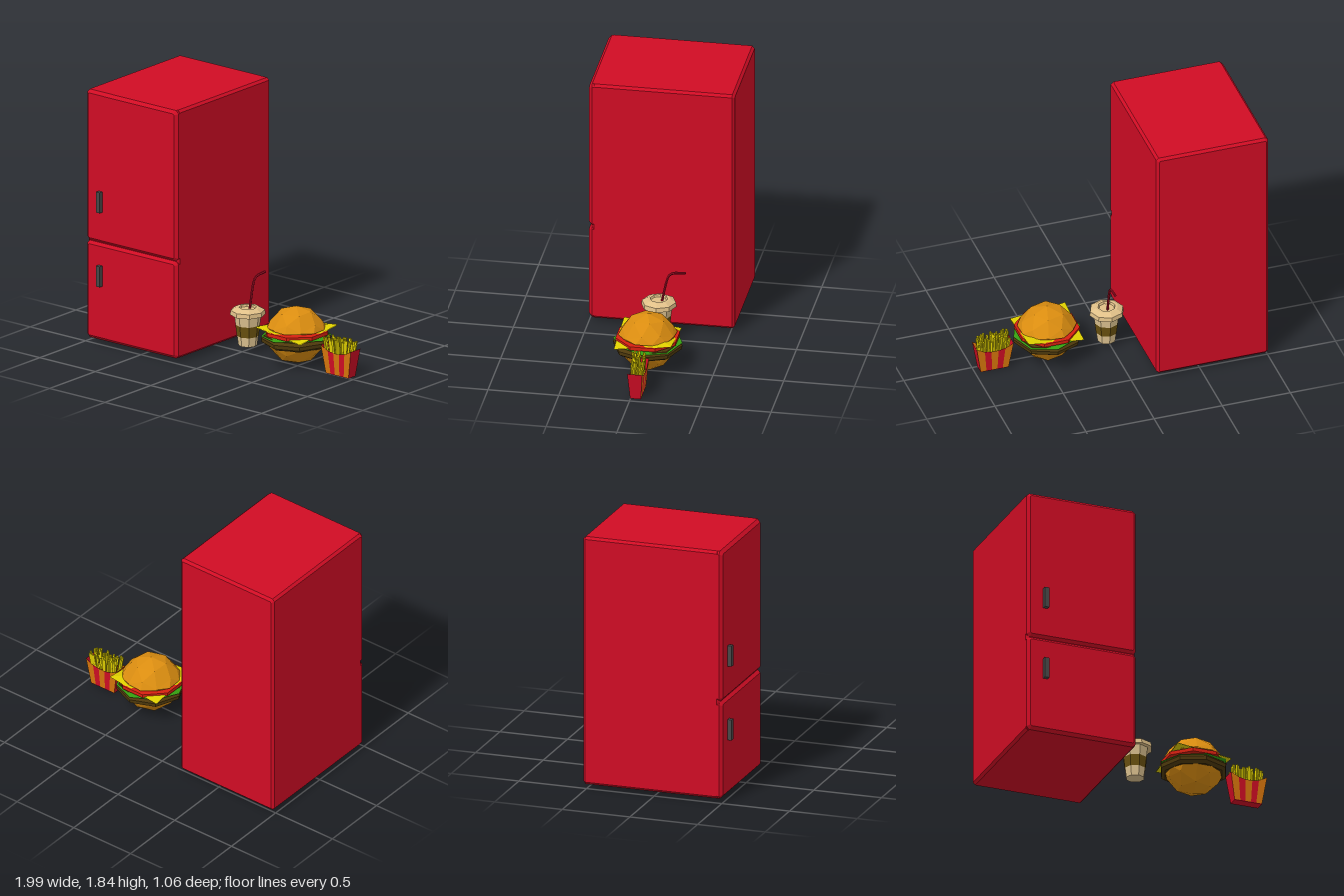
import * as THREE from 'three';

const RED = 0xd00c24, ORANGE = 0xd9760c, YELLOW = 0xe0d000, BUN = 0xdb8d10;

function mat(color) {
  return new THREE.MeshStandardMaterial({ color, flatShading: true, side: THREE.DoubleSide });
}

function add(parent, name, geometry, color, x = 0, y = 0, z = 0) {
  const mesh = new THREE.Mesh(geometry, mat(color));
  mesh.name = name;
  mesh.position.set(x, y, z);
  parent.add(mesh);
  return mesh;
}

// Box between two corners with every edge chamfered by c
function chamferBox([x0, y0, z0], [x1, y1, z1], c) {
  const a = x0 + c, b = x1 - c, d = y0 + c, e = y1 - c;
  const shape = new THREE.Shape();
  // bevelSize pushes the outline out by c
  const k = c * 0.4;
  [[a + k, d], [b - k, d], [b, d + k], [b, e - k], [b - k, e], [a + k, e], [a, e - k], [a, d + k]]
    .forEach(([x, y], i) => (i ? shape.lineTo(x, y) : shape.moveTo(x, y)));
  const g = new THREE.ExtrudeGeometry(shape, {
    depth: z1 - z0 - 2 * c, bevelThickness: c, bevelSize: c, bevelSegments: 1,
  });
  return g.translate(0, 0, z0 + c);
}

// Polygon fan from a list of corner points
function fan(points) {
  const pos = [];
  for (let i = 1; i < points.length - 1; i++) pos.push(...points[0], ...points[i], ...points[i + 1]);
  const g = new THREE.BufferGeometry();
  g.setAttribute('position', new THREE.Float32BufferAttribute(pos, 3));
  g.computeVertexNormals();
  return g;
}

// Eight-sided lathe from [radius, height] pairs
function octagon(profile) {
  return new THREE.LatheGeometry(profile.map(([r, y]) => new THREE.Vector2(r, y)), 8);
}

function makeFridge() {
  const g = new THREE.Group();
  g.name = 'refrigerator';
  add(g, 'cabinet', chamferBox([-1, 0.03, -0.53], [-0.18, 1.84, 0.48], 0.018), RED);
  add(g, 'upperDoor', chamferBox([-1, 0.74, 0.38], [-0.18, 1.84, 0.5], 0.022), RED);
  add(g, 'lowerDoor', chamferBox([-1, 0.03, 0.38], [-0.18, 0.74, 0.5], 0.022), RED);
  for (const [name, y] of [['upperHandle', 1.045], ['lowerHandle', 0.505]]) {
    add(g, name, new THREE.BoxGeometry(0.034, 0.15, 0.04), 0x484848, -0.865, y, 0.51);
  }
  return g;
}

function makeDrink() {
  const g = new THREE.Group();
  g.name = 'drink';
  g.position.set(0.023, 0, -0.033);
  add(g, 'cup', octagon([[0, 0.05], [0.066, 0.05], [0.096, 0.28]]), 0xe0c592);
  add(g, 'cupBand', octagon([[0.077, 0.12], [0.087, 0.2]]), 0x6b5210);
  add(g, 'lid', octagon([[0.09, 0.272], [0.125, 0.274], [0.12, 0.305], [0.082, 0.326],
    [0.062, 0.326], [0.055, 0.312], [0, 0.312]]), 0xe0c088);
  // Bent straw pointing to the back
  const path = new THREE.CatmullRomCurve3([[0.3, -0.02], [0.4, -0.04], [0.47, -0.056], [0.51, -0.072],
    [0.53, -0.1], [0.534, -0.13], [0.538, -0.188]].map(([y, z]) => new THREE.Vector3(0, y, z)));
  add(g, 'straw', new THREE.TubeGeometry(path, 14, 0.009, 6), 0xa80c24);
  return g;
}

// Faceted ball with one side cut flat between the given heights
function bun(low, high) {
  const geometry = new THREE.IcosahedronGeometry(0.208, 1);
  geometry.rotateY(0.3);
  const p = geometry.attributes.position;
  for (let i = 0; i < p.count; i++) p.setY(i, THREE.MathUtils.clamp(p.getY(i), low, high));
  geometry.computeVertexNormals();
  return geometry;
}

function makeBurger() {
  const g = new THREE.Group();
  g.name = 'burger';
  g.position.set(0.461, 0, -0.032);
  add(g, 'bottomBun', bun(-1, -0.05), BUN, 0, 0.216);
  add(g, 'topBun', bun(0.055, 1), BUN, 0, 0.216);
  add(g, 'patty', octagon([[0, 0.15], [0.215, 0.15], [0.242, 0.168], [0.245, 0.195],
    [0.225, 0.215], [0, 0.215]]), 0x4f3a0c);
  // Lettuce leaf, folded so two sides droop
  const leaf = [];
  for (let i = 0; i < 8; i++) {
    const a = i * Math.PI / 4;
    leaf.push([0.245 * Math.cos(a), 0.232 - 0.024 * Math.abs(Math.cos(a + 0.8)), 0.245 * Math.sin(a)]);
  }
  add(g, 'lettuce', fan([[0, 0.234, 0], ...leaf, leaf[0]]), 0x35a010);
  const tomato = octagon([[0, 0.232], [0.23, 0.232], [0.23, 0.258], [0, 0.258]]);
  add(g, 'tomato', tomato, 0xd82010).rotation.y = Math.PI / 8;
  // Square cheese slice folded along a diagonal
  const s = 0.203;
  for (const k of [1, -1]) {
    const corners = [[-s, 0.28, s], [k * s, 0.23, k * s], [s, 0.28, -s]];
    const name = k > 0 ? 'cheeseFront' : 'cheeseBack';
    add(g, name, fan(corners), YELLOW);
    add(g, name + 'Underside', fan(corners), YELLOW, 0, -0.006);
  }
  return g;
}

function makeFries() {
  const g = new THREE.Group();
  g.name = 'fries';
  g.position.set(0.858, 0, -0.035);
  const bottomX = 0.102, topX = 0.135, bottomZ = 0.038, topZ = 0.053;
  // Striped front and back panels with a dipped rim
  const edges = [-1, -0.58, -0.2, 0.2, 0.58, 1];
  const rim = (t) => 0.165 + 0.04 * Math.max(0, (Math.abs(t) - 0.45) / 0.55);
  for (const side of [1, -1]) {
    for (let i = 0; i < 5; i++) {
      const [a, b] = [edges[i], edges[i + 1]];
      const point = (t, up) => {
        const h = up ? rim(t) : 0.005, f = h / 0.205;
        return [t * THREE.MathUtils.lerp(bottomX, topX, f), h,
          side * THREE.MathUtils.lerp(bottomZ, topZ, f)];
      };
      const quad = [point(a, false), point(b, false), point(b, true), point(a, true)];
      add(g, 'cartonStripe', fan(side > 0 ? quad : quad.reverse()), i % 2 ? RED : ORANGE);
    }
    add(g, 'cartonSide', fan([[side * bottomX, 0.005, side * bottomZ], [side * bottomX, 0.005, -side * bottomZ],
      [side * topX, 0.205, -side * topZ], [side * topX, 0.205, side * topZ]]), RED);
  }
  add(g, 'cartonBase', new THREE.BoxGeometry(2 * bottomX, 0.004, 2 * bottomZ), RED, 0, 0.004);
  add(g, 'cartonFilling', new THREE.BoxGeometry(0.22, 0.004, 0.08), RED, 0, 0.13);
  // Sticks with seeded jitter
  let seed = 7;
  const rand = () => (seed = (seed * 16807) % 2147483647) / 2147483647;
  for (let i = 0; i < 13; i++) {
    for (let j = 0; j < 3; j++) {
      const t = (i - 6) / 6, h = 0.15 + 0.04 * rand();
      const stick = add(g, 'fry', new THREE.BoxGeometry(0.014, h, 0.014).translate(0, h / 2, 0), YELLOW,
        t * 0.095 + (rand() - 0.5) * 0.012, 0.09, (j - 1) * 0.025 + (rand() - 0.5) * 0.01);
      stick.rotation.set((j - 1) * 0.05, rand(), -t * 0.13 + (rand() - 0.5) * 0.08);
    }
  }
  return g;
}

export function createModel() {
  const model = new THREE.Group();
  model.name = 'refrigeratorWithMeal';
  model.add(makeFridge(), makeDrink(), makeBurger(), makeFries());
  return model;
}
